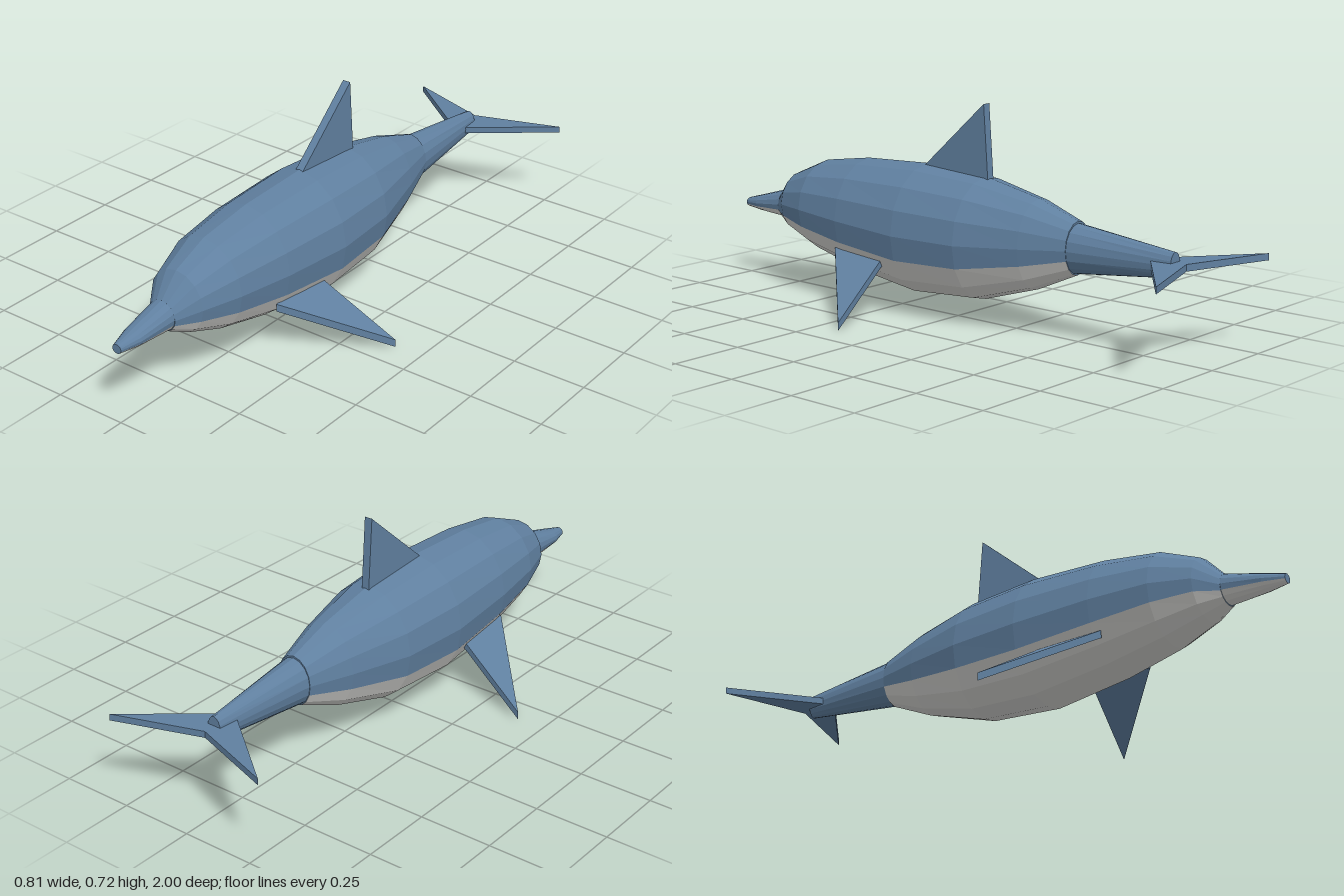
import * as THREE from 'three';

const SIDES = 16;

// Faceted hull through elliptical rings [z, top, bottom, halfWidth], listed front to back.
// Group 0 is the back and flanks, group 1 the underside.
function loft(rings) {
  const upper = [], under = [];
  const point = (r, k) => {
    const a = (k % SIDES) * Math.PI * 2 / SIDES;
    return [r[3] * Math.sin(a), (r[1] + r[2]) / 2 + Math.cos(a) * (r[1] - r[2]) / 2, r[0]];
  };
  const first = rings[0], last = rings[rings.length - 1];
  const middle = r => [0, (r[1] + r[2]) / 2, r[0]];
  for (let k = 0; k < SIDES; k++) {
    const out = k >= 5 && k <= 10 ? under : upper;
    for (let i = 0; i < rings.length - 1; i++) {
      const a = point(rings[i], k), b = point(rings[i], k + 1);
      const c = point(rings[i + 1], k + 1), d = point(rings[i + 1], k);
      out.push(...a, ...b, ...c, ...a, ...c, ...d);
    }
    // end caps
    upper.push(...middle(first), ...point(first, k + 1), ...point(first, k));
    upper.push(...middle(last), ...point(last, k), ...point(last, k + 1));
  }
  const g = new THREE.BufferGeometry();
  g.setAttribute('position', new THREE.Float32BufferAttribute([...upper, ...under], 3));
  g.addGroup(0, upper.length / 3, 0);
  g.addGroup(upper.length / 3, under.length / 3, 1);
  g.computeVertexNormals();
  return g;
}

// Flat triangular fin: three corners swept along an offset
function fin(corners, offset) {
  let [a, b, c] = corners.map(p => new THREE.Vector3(...p));
  const o = new THREE.Vector3(...offset);
  const n = b.clone().sub(a).cross(c.clone().sub(a));
  if (n.dot(o) < 0) [b, c] = [c, b];
  const low = [a, b, c], high = low.map(p => p.clone().add(o));
  const pts = [...high, low[2], low[1], low[0]];
  for (let i = 0; i < 3; i++) {
    const j = (i + 1) % 3;
    pts.push(low[i], low[j], high[j], low[i], high[j], high[i]);
  }
  const g = new THREE.BufferGeometry().setFromPoints(pts);
  g.computeVertexNormals();
  return g;
}

export function createModel() {
  const model = new THREE.Group();
  model.name = 'dolphin';
  const skin = new THREE.MeshStandardMaterial({ color: 0x6080a0 });
  skin.name = 'blueSkin';
  const belly = new THREE.MeshStandardMaterial({ color: 0xd2d2cf });
  belly.name = 'paleBelly';

  const add = (name, geometry, material) => {
    const mesh = new THREE.Mesh(geometry, material);
    mesh.name = name;
    model.add(mesh);
  };

  // Body, snout and tail
  add('body', loft([
    [0.80, 0.325, 0.225, 0.052],
    [0.73, 0.40, 0.19, 0.102],
    [0.60, 0.455, 0.143, 0.145],
    [0.40, 0.484, 0.097, 0.172],
    [0.13, 0.496, 0.06, 0.187],
    [-0.12, 0.48, 0.076, 0.168],
    [-0.34, 0.436, 0.143, 0.112],
    [-0.495, 0.384, 0.212, 0.065],
  ]), [skin, belly]);
  add('snout', loft([
    [1.0, 0.273, 0.242, 0.017],
    [0.93, 0.292, 0.236, 0.037],
    [0.80, 0.328, 0.228, 0.051],
  ]), [skin, belly]);
  add('tail', loft([
    [-0.49, 0.378, 0.216, 0.064],
    [-0.86, 0.339, 0.258, 0.025],
  ]), [skin, skin]);

  // Dorsal fin
  add('dorsalFin', fin([[-0.014, 0.485, 0.14], [-0.014, 0.716, -0.12], [-0.014, 0.45, -0.14]], [0.028, 0, 0]), skin);

  // Paired flippers and tail flukes
  for (const [side, s] of [['left', 1], ['right', -1]]) {
    add(side + 'Flipper', fin([
      [s * 0.14, 0.165, 0.43], [s * 0.13, 0.17, 0.21], [s * 0.403, 0, 0.157],
    ], [0, 0.026, 0]), skin);
    add(side + 'Fluke', fin([
      [0, 0.285, -0.767], [0, 0.285, -0.9], [s * 0.295, 0.285, -1],
    ], [0, 0.022, 0]), skin);
  }
  return model;
}
